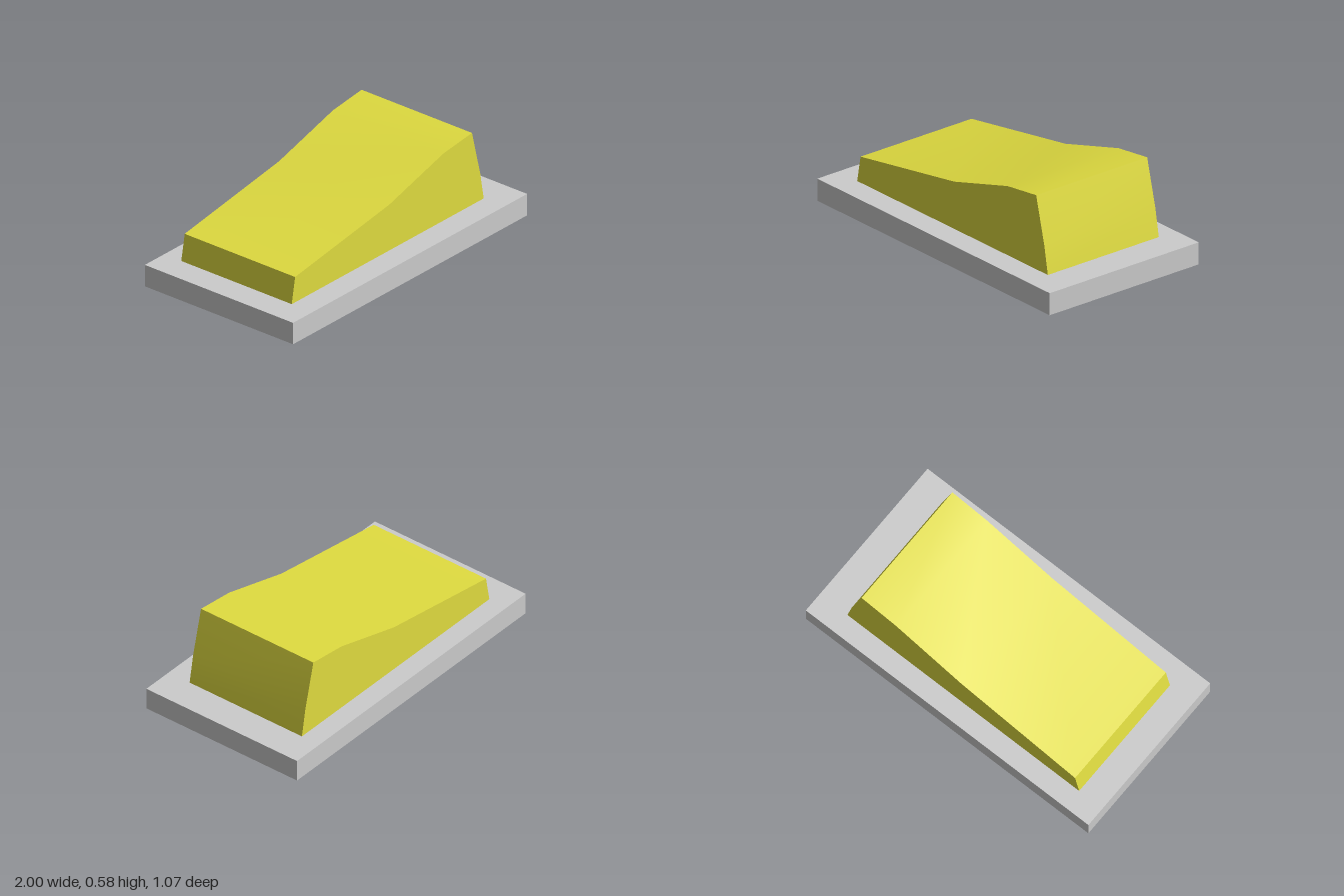
import * as THREE from 'three';
import { toCreasedNormals } from 'three/addons/utils/BufferGeometryUtils.js';

const BASE_HEIGHT = 0.133;

export function createModel() {
  const group = new THREE.Group();

  // Flat rectangular plinth
  const base = new THREE.Mesh(
    new THREE.BoxGeometry(2, BASE_HEIGHT, 1.067),
    new THREE.MeshStandardMaterial({ color: 0xcccccc })
  );
  base.name = 'base';
  base.position.y = BASE_HEIGHT / 2;
  group.add(base);

  // Sloping wedge: side profile extruded from back to front
  const profile = [
    [-0.835, BASE_HEIGHT], [0.805, BASE_HEIGHT], [0.775, 0.3], [0.705, 0.58],
    [0.46, 0.55], [0, 0.418], [-0.806, 0.29],
  ].map(([x, y]) => new THREE.Vector2(x, y));
  const wedgeGeometry = new THREE.ExtrudeGeometry(new THREE.Shape(profile), {
    depth: 0.795,
    bevelEnabled: false,
  });
  wedgeGeometry.translate(0, 0, -0.41);
  const wedge = new THREE.Mesh(
    toCreasedNormals(wedgeGeometry, Math.PI / 6),
    new THREE.MeshStandardMaterial({ color: 0xe0dc40 })
  );
  wedge.name = 'wedge';
  group.add(wedge);

  return group;
}
